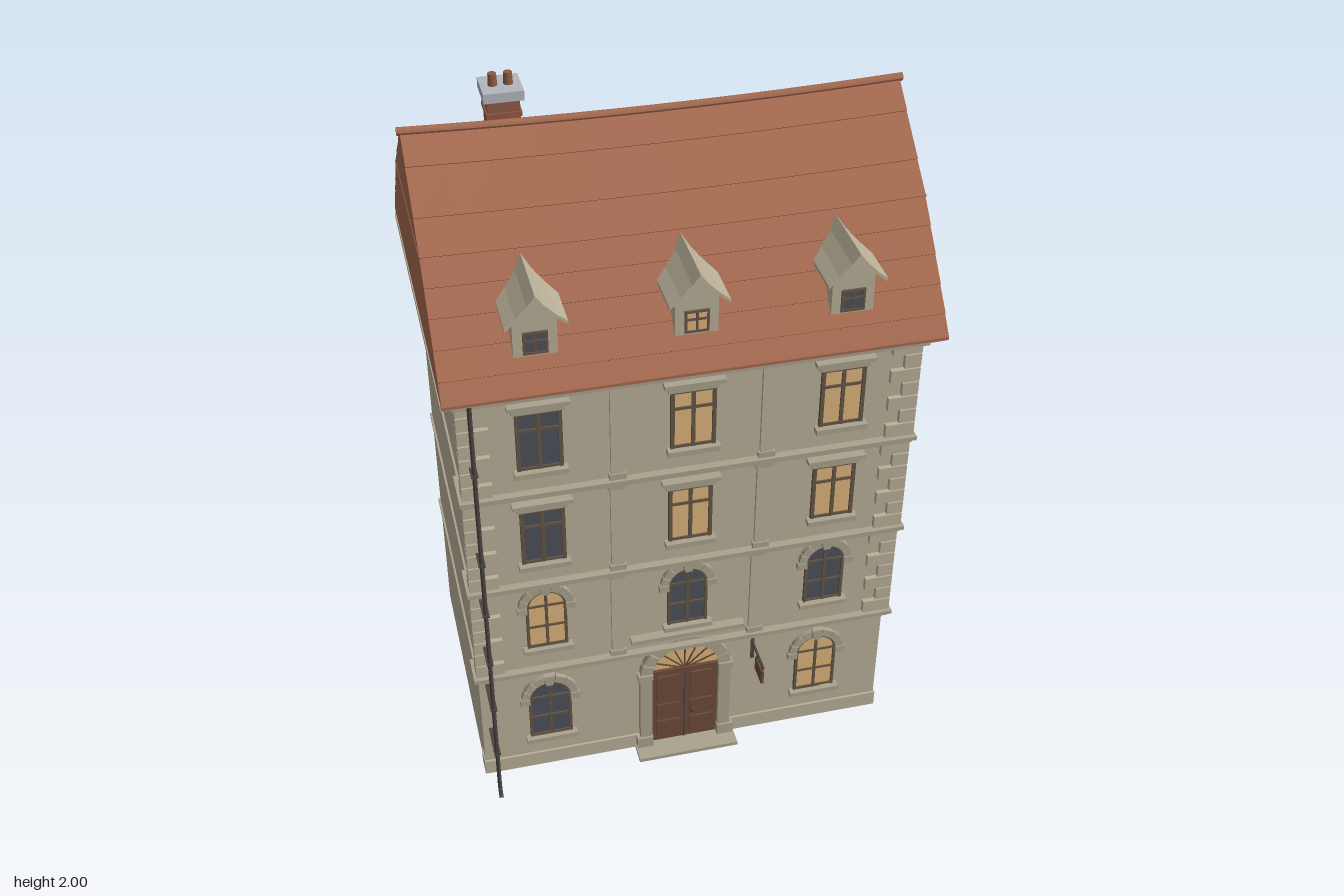
import * as THREE from 'three';

const paint = (name, color) => {
  const m = new THREE.MeshStandardMaterial({ color });
  m.name = name;
  return m;
};

export function createModel() {
  const wall = paint('plaster', 0xb9af98);
  const trim = paint('stone trim', 0xaaa28e);
  const tile = paint('roof tile', 0xa4694f);
  const ridgeMat = paint('brick', 0x8f5a45);
  const lit = paint('lit glass', 0xdcb27a);
  const dark = paint('dark glass', 0x4c4f58);
  const frame = paint('window frame', 0x665546);
  const wood = paint('door wood', 0x6b4a38);
  const metal = paint('dark metal', 0x4a4642);
  const cap = paint('chimney cap', 0xb2b7bd);
  const house = new THREE.Group();
  house.name = 'townHouse';

  const add = (parent, name, geo, mat, x = 0, y = 0, z = 0) => {
    const m = new THREE.Mesh(geo, mat);
    m.name = name;
    m.position.set(x, y, z);
    parent.add(m);
    return m;
  };
  // box given by its minimum and maximum corners
  const block = (parent, name, mat, x0, x1, y0, y1, z0, z1) =>
    add(parent, name, new THREE.BoxGeometry(x1 - x0, y1 - y0, z1 - z0), mat,
      (x0 + x1) / 2, (y0 + y1) / 2, (z0 + z1) / 2);
  const group = (name, x = 0, y = 0, z = 0) => {
    const g = new THREE.Group();
    g.name = name;
    g.position.set(x, y, z);
    house.add(g);
    return g;
  };
  const extrude = (shape, depth, steps = 1) => new THREE.ExtrudeGeometry(shape,
    { depth, steps, bevelEnabled: false, curveSegments: 14 });
  const polygon = pts => new THREE.Shape(pts.map(p => new THREE.Vector2(p[0], p[1])));
  const archShape = (r, spring) => {
    const s = new THREE.Shape();
    s.moveTo(-r, 0);
    s.lineTo(r, 0);
    s.lineTo(r, spring);
    s.absarc(0, spring, r, 0, Math.PI, false);
    s.closePath();
    return s;
  };
  // separate arch stones between two radii
  const archStones = (parent, r0, r1, y, n, depth) => {
    for (let i = 0; i < n; i++) {
      const a = Math.PI * i / n + 0.015, b = Math.PI * (i + 1) / n - 0.015;
      const s = new THREE.Shape();
      s.absarc(0, 0, r1, a, b, false);
      s.absarc(0, 0, r0, b, a, true);
      s.closePath();
      add(parent, 'archStone', extrude(s, depth), trim, 0, y, 0);
    }
  };

  // storeys, each reaching a little further forward
  const back = -0.43;
  const floors = [
    { y0: 0, y1: 0.41, z: 0.35 }, { y0: 0.41, y1: 0.75, z: 0.368 },
    { y0: 0.75, y1: 1.08, z: 0.386 }, { y0: 1.08, y1: 1.42, z: 0.402 }];
  floors.forEach((f, i) => {
    block(house, 'storey', wall, -0.6, 0.6, f.y0, f.y1, back, f.z);
    if (i === 0) return;
    const z = f.z;
    block(house, 'floorBand', trim, -0.606, 0.606, f.y0 - 0.006, f.y0 + 0.006, back - 0.005, z);
    block(house, 'frontBand', trim, -0.605, 0.605, f.y0 - 0.012, f.y0, 0.3, z + 0.012);
    block(house, 'frontBandTop', trim, -0.615, 0.615, f.y0, f.y0 + 0.012, 0.3, z + 0.022);
    for (const s of [-1, 1]) {
      // pilaster with base and capital
      const p = group('pilaster', s * 0.2, 0, z);
      block(p, 'shaft', wall, -0.018, 0.018, f.y0, f.y1 - 0.012, -0.01, 0.01);
      block(p, 'base', trim, -0.023, 0.023, f.y0 + 0.012, f.y0 + 0.03, -0.01, 0.014);
      block(p, 'capital', trim, -0.024, 0.024, f.y1 - 0.035, f.y1 - 0.018, -0.01, 0.014);
      // alternating corner stones
      const n = 7, h = (f.y1 - f.y0 - 0.03) / n;
      for (let k = 0; k < n; k++) {
        const w = k % 2 ? 0.045 : 0.08, y = f.y0 + 0.014 + k * h;
        const a = s * 0.607, b = s * (0.607 - w);
        block(house, 'cornerStone', wall, Math.min(a, b), Math.max(a, b),
          y + 0.002, y + h - 0.002, z - (k % 2 ? 0.015 : 0.03), z + 0.014);
      }
    }
  });
  for (const s of [-1, 1]) {
    block(house, 'plinth', wall, s > 0 ? 0.13 : -0.603, s > 0 ? 0.603 : -0.13, 0, 0.05, 0.3, 0.357);
  }

  // cornice under the eaves
  block(house, 'corniceLower', trim, -0.615, 0.615, 1.4, 1.418, -0.445, 0.44);
  block(house, 'corniceMiddle', trim, -0.63, 0.63, 1.418, 1.43, -0.458, 0.455);
  block(house, 'corniceUpper', trim, -0.645, 0.645, 1.43, 1.446, -0.47, 0.47);

  // rectangular windows
  const rectWindow = (x, y0, z, glass) => {
    const g = group('window', x, y0, z);
    const h = 0.18, w = 0.055;
    block(g, 'glass', glass, -w, w, 0, h, -0.004, 0.004);
    for (const s of [-1, 1]) block(g, 'sideFrame', frame, s * w - 0.005, s * w + 0.005, 0, h, -0.005, 0.01);
    block(g, 'mullion', frame, -0.005, 0.005, 0, h, 0, 0.009);
    for (const y of [0.004, 0.125, h - 0.004]) block(g, 'crossBar', frame, -w, w, y - 0.004, y + 0.004, 0, 0.008);
    block(g, 'sill', trim, -0.07, 0.07, -0.016, 0, -0.01, 0.025);
    block(g, 'lintel', trim, -0.068, 0.068, h, h + 0.02, -0.01, 0.014);
    block(g, 'lintelCap', trim, -0.08, 0.08, h + 0.02, h + 0.032, -0.01, 0.026);
  };
  [-0.4, 0, 0.4].forEach(x => {
    const glass = x < 0 ? dark : lit;
    rectWindow(x, 1.163, floors[3].z, glass);
    rectWindow(x, 0.833, floors[2].z, glass);
  });

  // arched windows
  const archWindow = (x, y0, z, r, spring, glass) => {
    const g = group('archedWindow', x, y0, z);
    add(g, 'glass', extrude(archShape(r, spring), 0.006), glass, 0, 0, -0.002);
    const ring = archShape(r + 0.002, spring);
    ring.holes.push(archShape(r - 0.006, spring));
    add(g, 'frame', extrude(ring, 0.012), frame, 0, 0, -0.002);
    block(g, 'mullion', frame, -0.004, 0.004, 0, spring + r, 0, 0.009);
    for (const y of [0.004, spring * 0.5, spring]) block(g, 'crossBar', frame, -r, r, y - 0.003, y + 0.003, 0, 0.008);
    archStones(g, r, r + 0.023, spring, 7, 0.014);
    for (const s of [-1, 1]) block(g, 'springStone', trim, s * (r + 0.013) - 0.014, s * (r + 0.013) + 0.014,
      spring - 0.016, spring + 0.006, -0.005, 0.017);
    add(g, 'keystone', extrude(polygon([[-0.01, -0.005], [0.01, -0.005], [0.016, 0.03], [-0.016, 0.03]]), 0.02),
      trim, 0, spring + r, 0);
    block(g, 'sill', trim, -r - 0.015, r + 0.015, -0.015, 0, -0.01, 0.024);
  };
  [-0.4, 0, 0.4].forEach(x => archWindow(x, 0.503, floors[1].z, 0.055, 0.15, x < 0 ? lit : dark));
  archWindow(-0.4, 0.127, floors[0].z, 0.06, 0.153, dark);
  archWindow(0.4, 0.127, floors[0].z, 0.06, 0.153, lit);
  block(house, 'centreLedge', trim, -0.165, 0.165, 0.462, 0.476, 0.35, 0.395);

  // double door with fanlight
  const door = group('door', 0, 0, 0.35);
  block(door, 'doorLeaves', wood, -0.1, 0.1, 0.012, 0.3, -0.01, 0.006);
  add(door, 'fanlight', extrude(archShape(0.1, 0.001), 0.005), lit, 0, 0.3, 0);
  block(door, 'transom', wood, -0.1, 0.1, 0.294, 0.308, 0, 0.014);
  block(door, 'doorSeam', metal, -0.002, 0.002, 0.012, 0.295, 0, 0.009);
  for (const s of [-1, 1]) {
    for (const [y0, y1] of [[0.03, 0.095], [0.11, 0.165], [0.18, 0.28]]) {
      block(door, 'doorPanel', wood, s * 0.05 - 0.034, s * 0.05 + 0.034, y0, y1, 0, 0.012);
    }
    block(door, 'jamb', trim, s * 0.118 - 0.018, s * 0.118 + 0.018, 0, 0.3, -0.01, 0.02);
    block(door, 'jambFoot', trim, s * 0.122 - 0.024, s * 0.122 + 0.024, 0, 0.05, -0.01, 0.026);
    block(door, 'jambCap', trim, s * 0.12 - 0.022, s * 0.12 + 0.022, 0.29, 0.308, -0.01, 0.026);
  }
  for (let i = 1; i < 8; i++) {
    const a = Math.PI * i / 8;
    add(door, 'fanlightBar', new THREE.BoxGeometry(0.1, 0.004, 0.006), wood,
      Math.cos(a) * 0.05, 0.3 + Math.sin(a) * 0.05, 0.005).rotation.z = a;
  }
  archStones(door, 0.1, 0.135, 0.3, 9, 0.02);
  add(door, 'knob', new THREE.SphereGeometry(0.008, 10, 8), metal, 0.025, 0.125, 0.014);
  block(house, 'doorStep', trim, -0.15, 0.15, 0, 0.012, 0.34, 0.42);

  // tiled roof: stepped rows, sagging in the middle
  const rows = [[0.487, 1.452], [0.45, 1.5], [0.4, 1.558], [0.35, 1.616], [0.3, 1.672],
    [0.25, 1.728], [0.175, 1.794], [0.075, 1.88], [0, 1.94]];
  const half = [];
  rows.forEach(([z, y], i) => {
    if (i > 0 && i < rows.length - 1) half.push([z - 0.003, y - 0.003]);
    half.push([z, y]);
  });
  const outline = [[0.487, 1.444], ...half, ...half.slice(0, -1).reverse().map(([z, y]) => [-z, y]), [-0.487, 1.444]];
  const sag = geo => {
    const p = geo.attributes.position;
    for (let i = 0; i < p.count; i++) {
      const t = Math.max(0, (p.getY(i) - 1.452) / 0.49), x = p.getX(i) / 0.64;
      p.setY(i, p.getY(i) - 0.014 * t * (1 - x * x));
    }
    geo.computeVertexNormals();
    return geo;
  };
  const roofGeo = extrude(polygon(outline), 1.284, 12);
  roofGeo.translate(0, 0, -0.642).rotateY(-Math.PI / 2);
  add(house, 'roof', sag(roofGeo), tile);
  const ridge = new THREE.CylinderGeometry(0.011, 0.011, 1.3, 10, 12).rotateZ(Math.PI / 2).translate(0, 1.938, 0);
  add(house, 'ridgeTiles', sag(ridge), tile);
  for (const s of [-1, 1]) {
    block(house, 'gableBand', ridgeMat, s * 0.642 - 0.002, s * 0.642 + 0.002, 1.724, 1.729, -0.248, 0.248);
  }

  // dormers with curved gabled roofs
  const slope = [[0.077, 1.632], [0.05, 1.654], [0.02, 1.685], [0, 1.712]];
  const mirrored = pts => [...pts, ...pts.slice(0, -1).reverse().map(([x, y]) => [-x, y])];
  const upper = mirrored(slope);
  const lower = mirrored(slope.map(([x, y]) => [x, y - 0.01])).reverse();
  [-0.4, 0, 0.4].forEach(x => {
    const d = group('dormer', x);
    add(d, 'dormerRoof', extrude(polygon([...upper, ...lower]), 0.235), wall, 0, 0, 0.22);
    add(d, 'dormerWall', extrude(polygon([[-0.055, 1.525], [0.055, 1.525], [0.055, 1.645], [0.02, 1.68],
      [0, 1.705], [-0.02, 1.68], [-0.055, 1.645]]), 0.185), wall, 0, 0, 0.24);
    block(d, 'glass', x === 0 ? lit : dark, -0.028, 0.028, 1.535, 1.592, 0.42, 0.428);
    for (const s of [-1, 0, 1]) block(d, 'frameBar', frame, s * 0.028 - 0.003, s * 0.028 + 0.003, 1.535, 1.592, 0.42, 0.431);
    for (const y of [1.535, 1.57, 1.592]) block(d, 'crossBar', frame, -0.031, 0.031, y - 0.003, y + 0.003, 0.42, 0.431);
  });

  // chimney
  const ch = group('chimney', -0.37, 0, -0.138);
  block(ch, 'shaft', ridgeMat, -0.042, 0.042, 1.7, 1.945, -0.04, 0.04);
  block(ch, 'brickBand', ridgeMat, -0.046, 0.046, 1.895, 1.908, -0.044, 0.044);
  block(ch, 'cap', cap, -0.052, 0.052, 1.942, 1.968, -0.052, 0.052);
  for (const s of [-1, 1]) {
    add(ch, 'pot', new THREE.CylinderGeometry(0.011, 0.013, 0.04, 12), ridgeMat, s * 0.02, 1.98, 0);
  }

  // downpipe with brackets
  const pts = [[0.45, 1.42], [0.445, 1.38], [0.445, 0.04], [0.452, 0.02], [0.468, 0.012]];
  const path = new THREE.CurvePath();
  for (let i = 1; i < pts.length; i++) {
    path.add(new THREE.LineCurve3(new THREE.Vector3(-0.573, pts[i - 1][1], pts[i - 1][0]),
      new THREE.Vector3(-0.573, pts[i][1], pts[i][0])));
  }
  add(house, 'downpipe', new THREE.TubeGeometry(path, 60, 0.006, 8), metal);
  for (const y of [0.18, 0.36, 0.54, 0.72, 0.9, 1.2]) {
    block(house, 'pipeBracket', metal, -0.582, -0.564, y - 0.004, y + 0.004, 0.345, 0.453);
  }

  // hanging board on an arm
  const sign = group('hangingBoard', 0.205);
  block(sign, 'arm', metal, -0.003, 0.003, 0.35, 0.356, 0.345, 0.465);
  block(sign, 'wallPlate', metal, -0.005, 0.005, 0.29, 0.365, 0.345, 0.355);
  block(sign, 'board', wood, -0.004, 0.004, 0.288, 0.335, 0.395, 0.46);
  for (const z of [0.405, 0.45]) block(sign, 'hanger', metal, -0.002, 0.002, 0.335, 0.352, z - 0.002, z + 0.002);

  return house;
}
